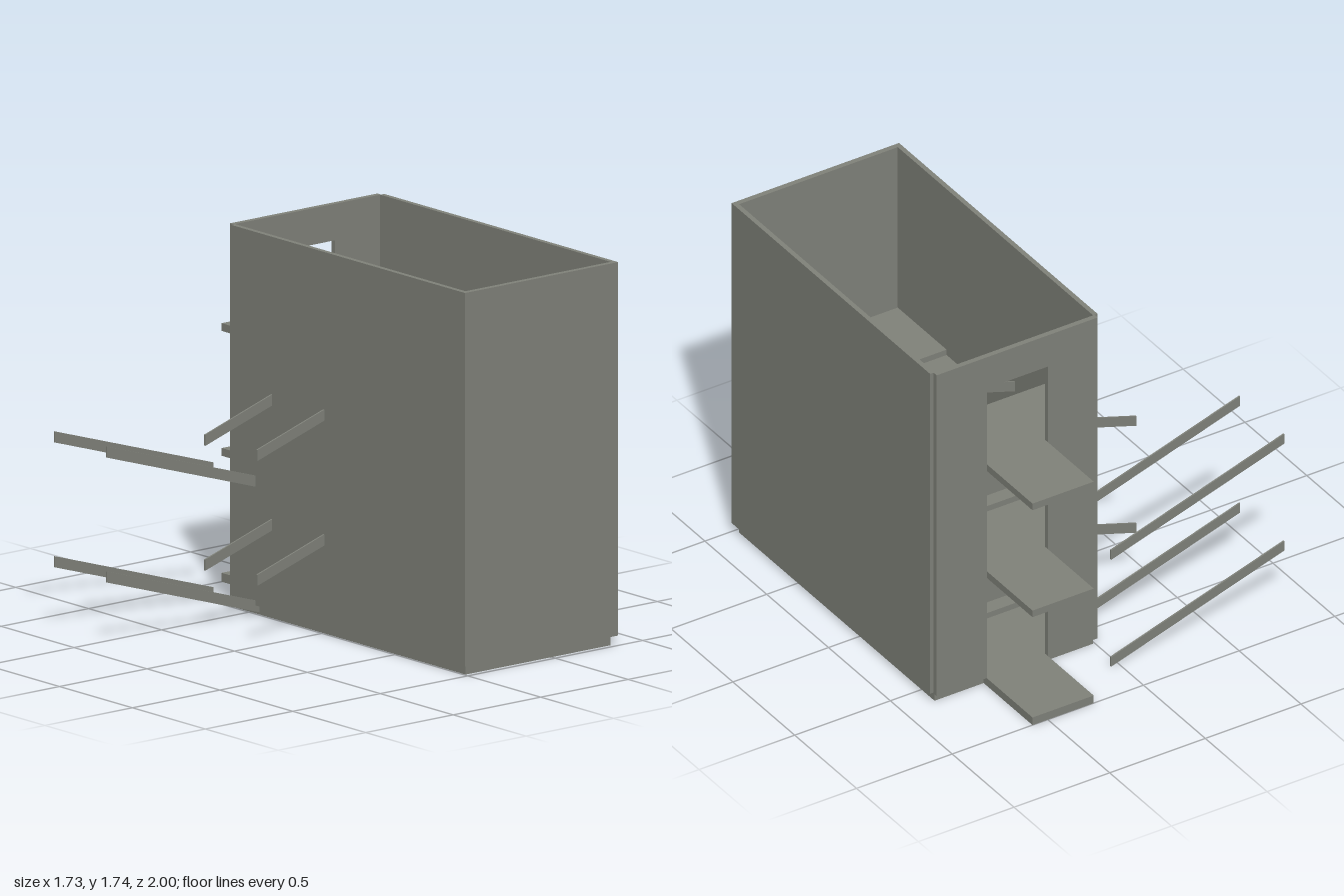
import * as THREE from 'three';

export function createModel() {
  const model = new THREE.Group();
  model.name = 'stairwell';
  const concrete = new THREE.MeshStandardMaterial({ color: 0x80827a });
  concrete.name = 'concrete grey';

  const add = (name, geometry) => {
    const mesh = new THREE.Mesh(geometry, concrete);
    mesh.name = name;
    model.add(mesh);
    return mesh;
  };
  // Box given by its lower and upper corners
  const box = (name, x0, x1, y0, y1, z0, z1) => {
    const g = new THREE.BoxGeometry(x1 - x0, y1 - y0, z1 - z0);
    g.translate((x0 + x1) / 2, (y0 + y1) / 2, (z0 + z1) / 2);
    return add(name, g);
  };

  const storey = 0.565, ground = 0.04, top = 1.735;
  const inL = 0.008, inR = 0.837, gapL = 0.36, gapR = 0.48;
  const backIn = -0.605, stairBack = -0.235, stairFront = 0.67, frontIn = 0.975;
  const steps = 10, tread = (stairFront - stairBack) / steps, rise = storey / 2 / steps;

  // Outer walls
  box('frontWall', -0.015, 0.86, 0.045, top, frontIn, 1);
  box('rightWall', -0.015, inL, 0.045, top, backIn, frontIn);
  box('leftWall', inR, 0.86, 0.045, top, backIn, frontIn);

  // Ground slab in two pieces
  box('groundSlabBack', inL, inR, 0, ground, backIn, stairBack);
  box('groundSlabFront', inL, inR, 0, ground, stairBack, frontIn);

  // Back wall with a doorway, floor and balcony on every storey
  for (let i = 0; i < 3; i++) {
    const y = ground + i * storey;
    const wall = new THREE.Shape([[0, y], [0.26, y], [0.26, y + 0.4], [0.58, y + 0.4],
      [0.58, y], [0.842, y], [0.842, y + storey], [0, y + storey]]
      .map(p => new THREE.Vector2(...p)));
    const g = new THREE.ExtrudeGeometry(wall, { depth: 0.025, bevelEnabled: false });
    add('backWall', g.translate(0, 0, -0.63));
    box('balcony', 0.26, 0.58, i ? y - 0.035 : 0, y, -1, backIn);
    if (i) box('floorLanding', inL, inR, y - 0.035, y, backIn, stairBack);
  }

  // Stair flight; side profile drawn along its climb, then stood in place
  const flight = (name, x0, x1, y, towardFront) => {
    const s = new THREE.Shape();
    s.moveTo(0, 0);
    for (let i = 0; i < steps; i++) {
      s.lineTo(i * tread, (i + 1) * rise);
      s.lineTo((i + 1) * tread, (i + 1) * rise);
    }
    s.lineTo(steps * tread, steps * rise - 0.035);
    s.lineTo(tread, -0.005);
    s.closePath();
    const g = new THREE.ExtrudeGeometry(s, { depth: x1 - x0, bevelEnabled: false });
    if (towardFront) g.rotateY(-Math.PI / 2).translate(x1, y, stairBack);
    else g.rotateY(Math.PI / 2).translate(x0, y, stairFront);
    add(name, g);
  };

  // Slanted strip in a vertical plane across x
  const strip = (name, x0, y0, x1, y1, z) => {
    const s = new THREE.Shape([[x0, y0 - 0.05], [x1, y1 - 0.05], [x1, y1], [x0, y0]]
      .map(p => new THREE.Vector2(...p)));
    const g = new THREE.ExtrudeGeometry(s, { depth: 0.008, bevelEnabled: false });
    return add(name, g.translate(0, 0, z - 0.004));
  };

  for (let i = 0; i < 2; i++) {
    const y = ground + i * storey, mid = y + storey / 2;
    flight('lowerFlight', inL, gapL, y, true);
    flight('upperFlight', gapR, inR, mid, false);
    box('halfLanding', inL, inR, mid - 0.035, mid, stairFront, frontIn);

    // Loose strips projecting through the right wall
    for (const z of [-0.797, -0.44]) strip('lowerStrip', -0.865, y + 0.295, 0.04, y + 0.01, z);
    for (const z of [-0.327, 0.03]) strip('upperStrip', -0.397, y + 0.295, 0.505, y + 0.582, z);

    // Thin rail along the left wall, above the upper flight
    const rail = strip('wallRail', -stairFront, mid + 0.17, -stairBack, mid + storey / 2 + 0.17, 0);
    rail.geometry.rotateY(Math.PI / 2).translate(inR - 0.004, 0, 0);
  }

  // Partition under the first upper flight
  box('underStairPanel', gapR, inR, ground, 0.53, -0.1, -0.08);

  // Small wall brackets
  box('frontBracket', 0.72, 0.79, 1.315, 1.325, 0.965, frontIn);
  box('backBracket', 0.72, 0.79, 1.315, 1.325, backIn, -0.598);

  return model;
}
